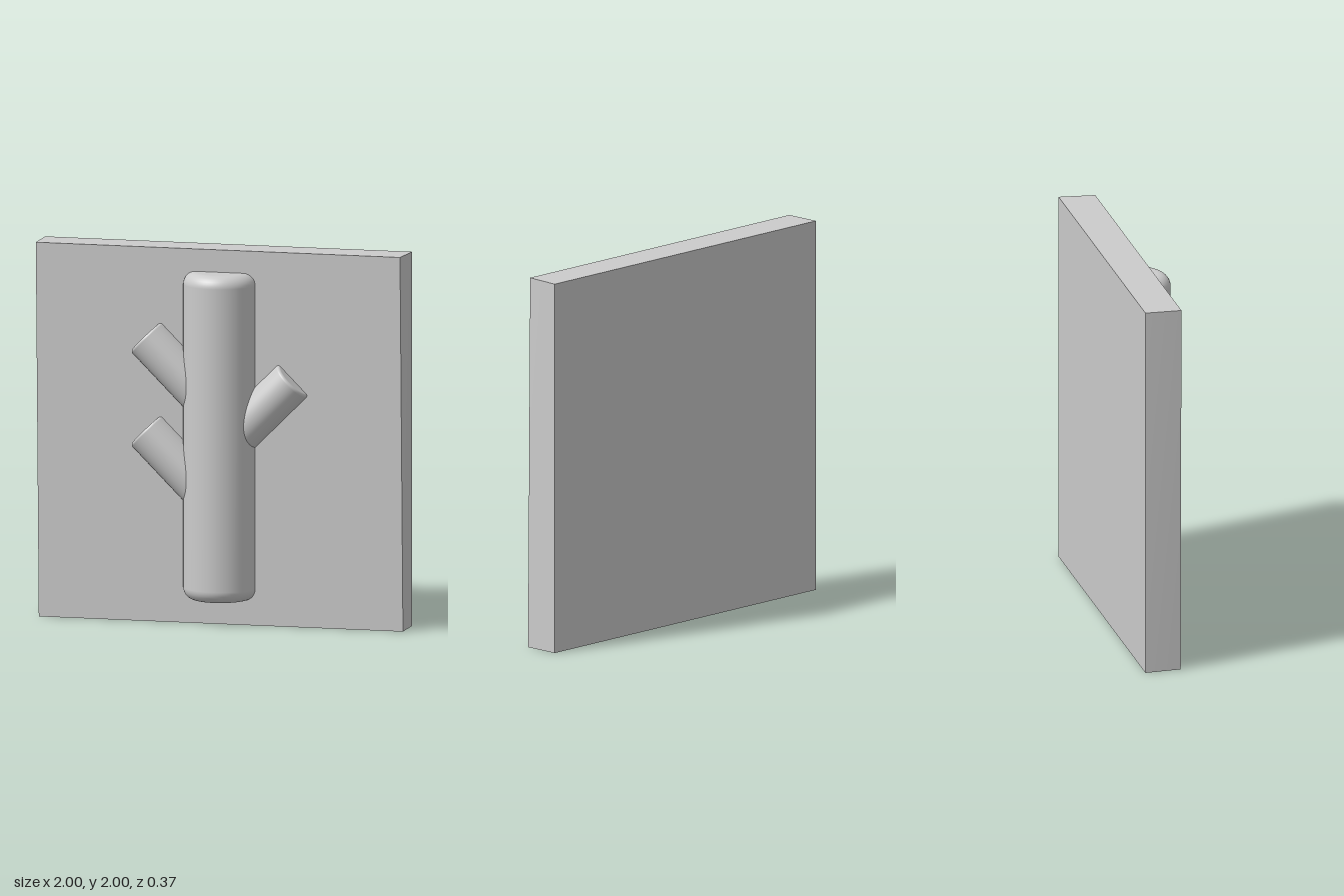
import * as THREE from 'three';

const material = new THREE.MeshStandardMaterial({ color: 0xcccccc });

// Half-round log along y with filleted ends; its flat side is buried in the panel
function halfLog(name, radius, length, fillet, squash = 1) {
  const pts = [new THREE.Vector2(0, 0), new THREE.Vector2((radius - fillet) * 0.97, 0)];
  const steps = 8;
  for (const end of [0, 1]) {
    for (let i = 0; i <= steps; i++) {
      const a = (i / steps + end - 1) * Math.PI / 2;
      const cy = end ? length - fillet * squash : fillet * squash;
      pts.push(new THREE.Vector2(radius - fillet + fillet * Math.cos(a), cy + fillet * squash * Math.sin(a)));
    }
  }
  pts.push(new THREE.Vector2((radius - fillet) * 0.97, length), new THREE.Vector2(0, length));
  const mesh = new THREE.Mesh(new THREE.LatheGeometry(pts, 40, -Math.PI / 2, Math.PI), material);
  mesh.name = name;
  return mesh;
}

export function createModel() {
  const model = new THREE.Group();
  model.name = 'treeRelief';

  // Backing panel, its front face very slightly sheared
  const slab = new THREE.BoxGeometry(2, 2, 0.195);
  const pos = slab.attributes.position;
  for (let i = 0; i < pos.count; i++) {
    const x = pos.getX(i), y = pos.getY(i);
    if (pos.getZ(i) > 0 && x * y > 0) pos.setX(i, x - Math.sign(x) * 0.016);
  }
  slab.computeVertexNormals();
  const panel = new THREE.Mesh(slab, material);
  panel.name = 'backPanel';
  panel.position.set(0, 1, -0.0875);
  model.add(panel);

  // Trunk
  const trunk = halfLog('trunk', 0.197, 1.75, 0.065);
  trunk.position.set(0, 0.13, -0.015);
  model.add(trunk);

  // Branches rise at 45 degrees from the trunk axis: [name, side, tip height]
  const reach = 0.402;
  for (const [name, side, tipY] of [
    ['upperRightBranch', -1, 1.52],
    ['lowerRightBranch', -1, 1.02],
    ['leftBranch', 1, 1.32],
  ]) {
    const branch = halfLog(name, 0.116, reach * Math.SQRT2, 0.015);
    branch.position.set(0, tipY - reach, -0.011);
    branch.rotation.z = -side * Math.PI / 4;
    model.add(branch);
  }
  return model;
}
